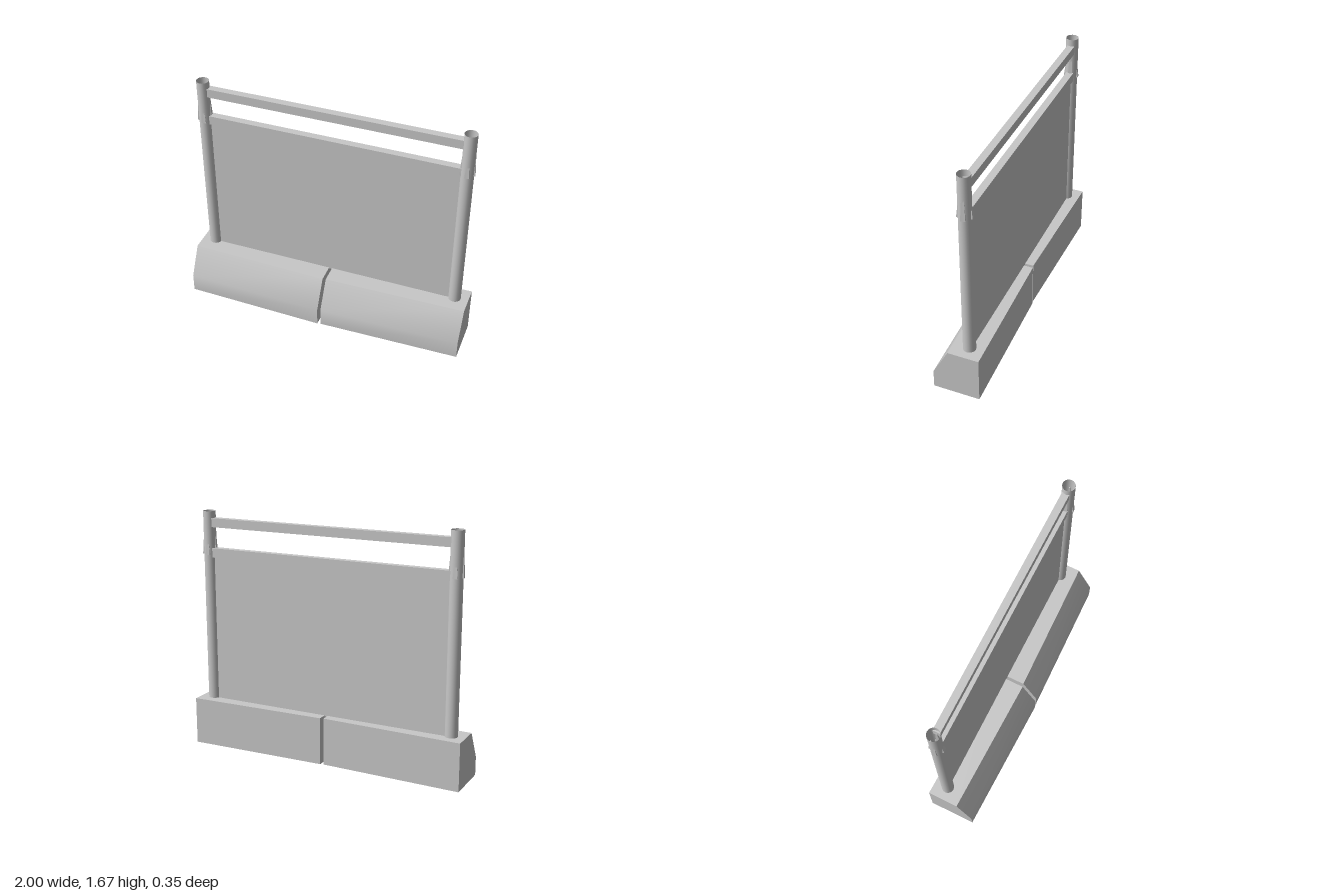
import * as THREE from 'three';
import { toCreasedNormals } from 'three/addons/utils/BufferGeometryUtils.js';

const concrete = new THREE.MeshStandardMaterial({ color: 0xc8c8c8 });
concrete.name = 'light grey';
const tube = new THREE.MeshStandardMaterial({ color: 0xc8c8c8, side: THREE.DoubleSide });
tube.name = 'light grey open tube';

const BASE_TOP = 0.333;
const POST_TOP = 1.675;
const POST_Z = -0.077;

function add(parent, name, geometry, material, x = 0, y = 0, z = 0) {
  const mesh = new THREE.Mesh(geometry, material);
  mesh.name = name;
  mesh.position.set(x, y, z);
  parent.add(mesh);
  return mesh;
}

// Kerb block: a sloped profile swept along x, skewed so its outer end sits further back
function blockGeometry(x0, x1, z0, z1) {
  const profile = new THREE.Shape([
    [0, 0], [0.323, 0], [0.323, 0.13], [0.215, BASE_TOP], [0, BASE_TOP],
  ].map(([z, y]) => new THREE.Vector2(-z, y)));
  const geo = new THREE.ExtrudeGeometry(profile, { depth: x1 - x0, bevelEnabled: false });
  geo.rotateY(Math.PI / 2);
  geo.translate(x0, 0, 0);
  const p = geo.attributes.position;
  for (let i = 0; i < p.count; i++) {
    const t = (p.getX(i) - x0) / (x1 - x0);
    p.setZ(i, p.getZ(i) + z0 + (z1 - z0) * t);
  }
  return toCreasedNormals(geo, 0.7);
}

// Clip: a wedge that is wide and proud at the bottom and dies into the post at the top
function clipGeometry(height) {
  const geo = new THREE.BoxGeometry(0.032, height, 0.018);
  const p = geo.attributes.position;
  for (let i = 0; i < p.count; i++) {
    if (p.getY(i) > 0) {
      p.setX(i, p.getX(i) * 0.3);
      p.setZ(i, p.getZ(i) * 0.5 - 0.008);
    }
  }
  geo.computeVertexNormals();
  return geo;
}

function createPost(name, x) {
  const post = new THREE.Group();
  post.name = name;
  post.position.set(x, 0, POST_Z);
  add(post, 'postTube', new THREE.CylinderGeometry(0.043, 0.043, POST_TOP - BASE_TOP, 20, 1, true),
    tube, 0, (POST_TOP + BASE_TOP) / 2, 0);
  // Four clips around the upper post, slightly twisted
  [0.12, 0.22, 0.12, 0.22].forEach((h, i) => {
    const a = i * Math.PI / 2 + 0.15;
    const clip = add(post, 'clip', clipGeometry(h), concrete,
      Math.sin(a) * 0.041, 1.375 + h / 2, Math.cos(a) * 0.041);
    clip.rotation.y = a;
  });
  return post;
}

export function createModel() {
  const model = new THREE.Group();
  model.name = 'roadsideBarrier';

  // Two base blocks with a narrow gap between them
  add(model, 'rightBaseBlock', blockGeometry(-1, -0.014, -0.175, -0.152), concrete);
  add(model, 'leftBaseBlock', blockGeometry(0.008, 1, -0.157, -0.18), concrete);

  // Posts
  model.add(createPost('rightPost', -0.904), createPost('leftPost', 0.904));

  // Rails
  add(model, 'upperRail', new THREE.BoxGeometry(1.745, 0.062, 0.05), concrete, 0, 1.597, -0.08);
  add(model, 'lowerRail', new THREE.BoxGeometry(1.745, 0.064, 0.05), concrete, 0, 1.388, -0.08);

  // Screen panel
  add(model, 'panel', new THREE.BoxGeometry(1.74, 1.04, 0.02), concrete, 0, 0.845, -0.08);

  return model;
}
